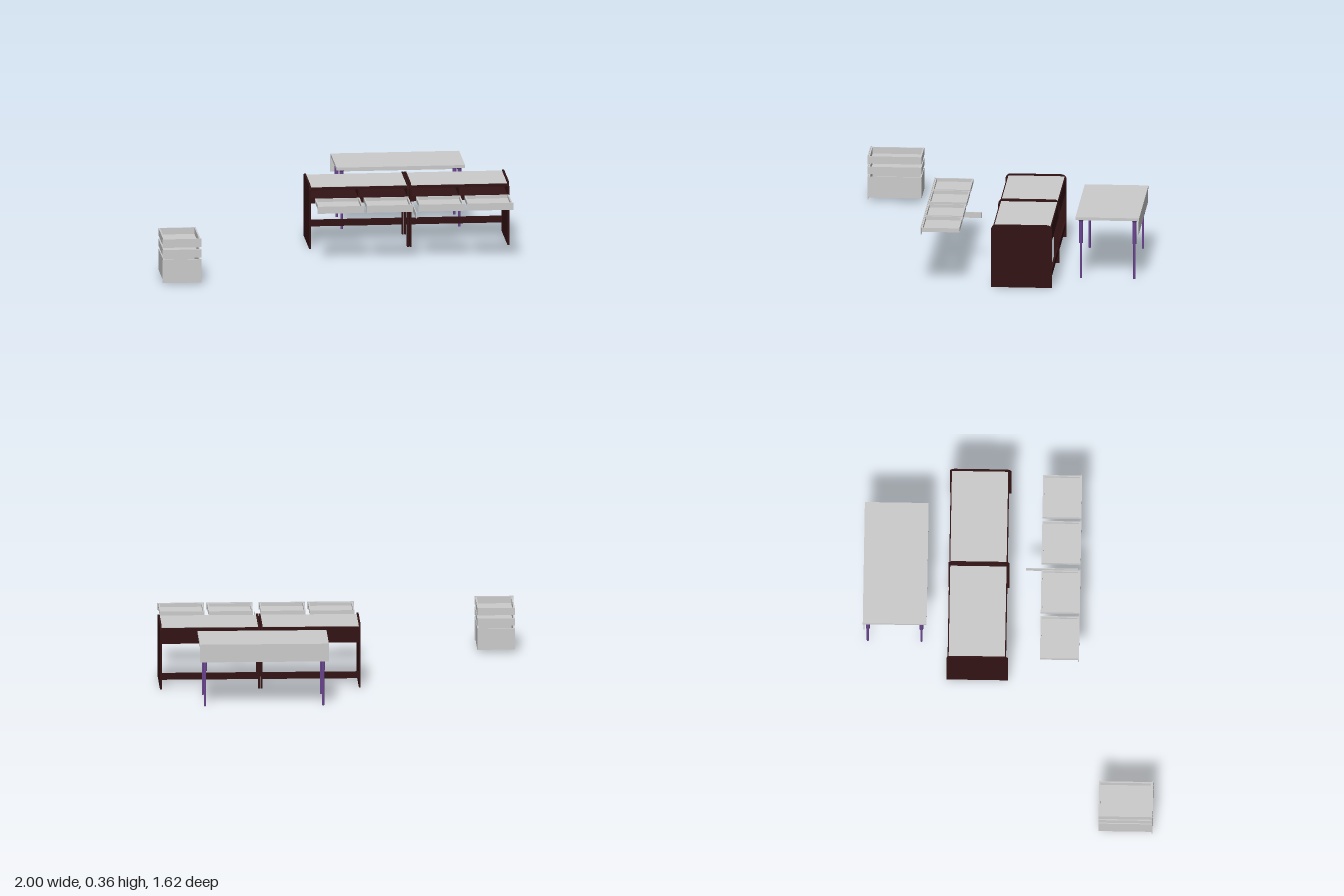
import * as THREE from 'three';

const grey = new THREE.MeshStandardMaterial({ color: 0xcccccc });
const wood = new THREE.MeshStandardMaterial({ color: 0x331314 });
const purple = new THREE.MeshStandardMaterial({ color: 0x6b4590 });

// Box given by its min and max on each axis
function slab(parent, name, mat, [x0, x1], [y0, y1], [z0, z1]) {
  const mesh = new THREE.Mesh(new THREE.BoxGeometry(x1 - x0, y1 - y0, z1 - z0), mat);
  mesh.position.set((x0 + x1) / 2, (y0 + y1) / 2, (z0 + z1) / 2);
  mesh.name = name;
  parent.add(mesh);
}

// Open tray with a front panel that overlaps the box all round
function drawer(name, [x0, x1], [y0, y1], [z0, z1], drop) {
  const g = new THREE.Group();
  g.name = name;
  const w = 0.008, f = 0.005, inset = 0.005;
  const a = x0 + inset, b = x1 - inset, top = y1 - 0.003, base = y0 + drop, front = z1 - f;
  slab(g, 'drawerFront', grey, [x0, x1], [y0, y1], [front, z1]);
  slab(g, 'drawerBottom', grey, [a, b], [base, base + 0.005], [z0, front]);
  slab(g, 'drawerSideRight', grey, [a, a + w], [base, top], [z0, front]);
  slab(g, 'drawerSideLeft', grey, [b - w, b], [base, top], [z0, front]);
  slab(g, 'drawerBack', grey, [a + w, b - w], [base, top], [z0, z0 + w]);
  slab(g, 'drawerInnerFront', grey, [a + w, b - w], [base, top], [front - w, front]);
  return g;
}

// Upright panel with rounded top corners; an optional cutout leaves a front and a back post
function uprightPanel(name, x0, x1, cutout) {
  const s = new THREE.Shape();
  const z0 = -0.343, z1 = -0.004, h = 0.356, r = 0.03;
  s.moveTo(-z1, 0);
  if (cutout) {
    const post = 0.03, beam = 0.25;
    s.lineTo(-z1 + post, 0);
    s.lineTo(-z1 + post, beam);
    s.lineTo(-z0 - post, beam);
    s.lineTo(-z0 - post, 0);
  }
  s.lineTo(-z0, 0);
  s.lineTo(-z0, h - r);
  s.absarc(-z0 - r, h - r, r, 0, Math.PI / 2);
  s.absarc(-z1 + r, h - r, r, Math.PI / 2, Math.PI);
  s.closePath();
  const geo = new THREE.ExtrudeGeometry(s, { depth: x1 - x0, bevelEnabled: false, curveSegments: 8 });
  geo.rotateY(Math.PI / 2);
  const mesh = new THREE.Mesh(geo, wood);
  mesh.position.x = x0;
  mesh.name = name;
  return mesh;
}

function desk() {
  const g = new THREE.Group();
  g.name = 'doubleDesk';
  g.add(uprightPanel('endPanelRight', -0.11, -0.1, false));
  g.add(uprightPanel('endPanelLeft', 0.99, 1.0, false));
  g.add(uprightPanel('centreSupportRight', 0.433, 0.443, true));
  g.add(uprightPanel('centreSupportLeft', 0.447, 0.457, true));
  for (const [a, b] of [[-0.1, 0.433], [0.457, 0.99]]) {
    const mid = (a + b) / 2;
    slab(g, 'deskTop', wood, [a, b], [0.33, 0.345], [-0.338, -0.015]);
    slab(g, 'deskTopSurface', grey, [a, b], [0.345, 0.347], [-0.332, -0.021]);
    slab(g, 'drawerShelf', wood, [a, b], [0.256, 0.286], [-0.338, -0.015]);
    slab(g, 'backPanel', wood, [a, b], [0.286, 0.33], [-0.338, -0.328]);
    slab(g, 'drawerDivider', wood, [mid - 0.005, mid + 0.005], [0.286, 0.33], [-0.328, -0.02]);
    slab(g, 'lowerRail', wood, [a, b], [0.053, 0.09], [-0.338, -0.328]);
  }
  return g;
}

// Stepped round leg: wide mounting collar, sleeve, thin lower tube
function tableLeg(x, z) {
  const profile = [[0, 0], [0.0065, 0], [0.0065, 0.2], [0.011, 0.2], [0.011, 0.325], [0.017, 0.337], [0, 0.337]];
  const g = new THREE.Group();
  g.name = 'tableLeg';
  // Each segment is lathed separately so that the steps stay sharp
  for (let i = 1; i < profile.length; i++) {
    const pts = [profile[i - 1], profile[i]].map(([r, y]) => new THREE.Vector2(r, y));
    const mesh = new THREE.Mesh(new THREE.LatheGeometry(pts, 20), purple);
    mesh.name = 'legSection';
    g.add(mesh);
  }
  g.position.set(x, 0, z);
  return g;
}

function table() {
  const g = new THREE.Group();
  g.name = 'sideTable';
  slab(g, 'tableTop', grey, [0.084, 0.797], [0.337, 0.353], [-0.81, -0.457]);
  slab(g, 'modestyPanel', grey, [0.084, 0.797], [0.252, 0.337], [-0.806, -0.8]);
  for (const x of [0.115, 0.768]) for (const z of [-0.486, -0.782]) g.add(tableLeg(x, z));
  return g;
}

export function createModel() {
  const model = new THREE.Group();
  model.add(desk(), table());

  // Row of four shallow drawers in front of the desk
  for (const span of [[-0.1, 0.158], [0.17, 0.428], [0.46, 0.717], [0.729, 0.987]]) {
    model.add(drawer('deskDrawer', span, [0.289, 0.329], [0.172, 0.388], 0.014));
  }
  // Thin loose divider strip
  slab(model, 'dividerStrip', grey, [0.447, 0.452], [0.247, 0.279], [0.087, 0.374]);

  // Pedestal drawers, floating one above the other
  for (const [y0, y1] of [[0.012, 0.144], [0.153, 0.2], [0.212, 0.26]]) {
    model.add(drawer('pedestalDrawer', [-1, -0.783], [y0, y1], [0.511, 0.81], y1 - y0 > 0.1 ? 0.009 : 0.004));
  }
  return model;
}
